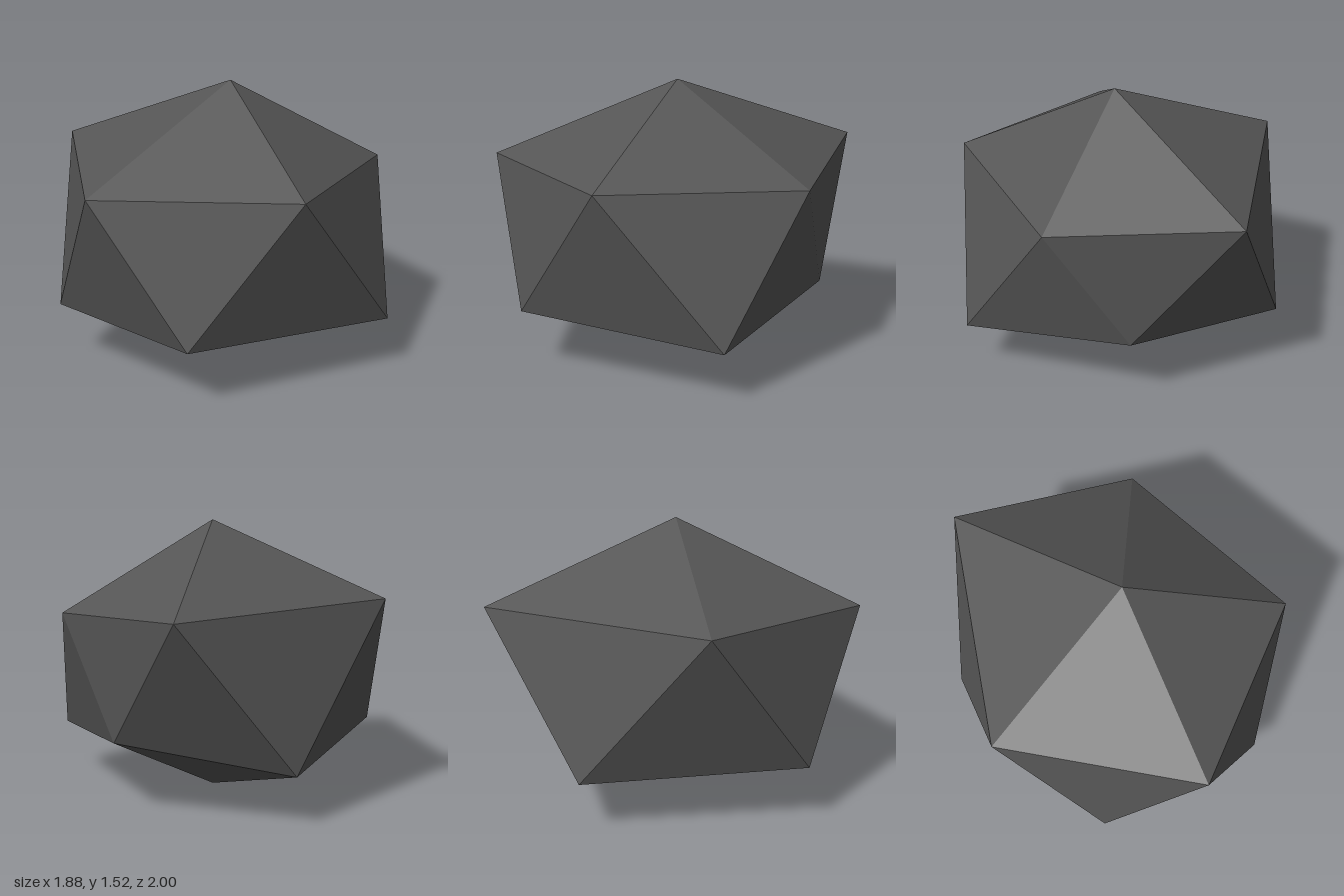
import * as THREE from 'three';

// A faceted boulder: two staggered five-point rings closed by a peak and a base point.
export function createModel() {
  const group = new THREE.Group();
  group.name = 'boulder';

  const peak = [0.03, 1.52, 0.08];
  const base = [0.03, 0, 0.08];
  // Both rings run counter-clockwise seen from above, lower[i] sits between upper[i] and upper[i + 1]
  const upper = [[-0.48, 1.08, 0.96], [0.59, 1.09, 0.77], [0.775, 1.04, -0.34], [0, 1.12, -1], [-0.945, 1.13, -0.07]];
  const lower = [[0.05, 0.33, 1], [0.94, 0.29, 0.21], [0.42, 0.4, -0.61], [-0.56, 0.285, -0.65], [-0.81, 0.32, 0.54]];

  // Cap, zigzag belt and underside
  const points = [];
  for (let i = 0; i < 5; i++) {
    const j = (i + 1) % 5;
    points.push(
      peak, upper[i], upper[j],
      upper[i], lower[i], upper[j],
      lower[i], lower[j], upper[j],
      base, lower[j], lower[i],
    );
  }

  const geometry = new THREE.BufferGeometry();
  geometry.setAttribute('position', new THREE.Float32BufferAttribute(points.flat(), 3));
  geometry.computeVertexNormals();

  const stone = new THREE.MeshStandardMaterial({ color: 0x555555, flatShading: true });
  stone.name = 'dark grey stone';

  const rock = new THREE.Mesh(geometry, stone);
  rock.name = 'rock';
  group.add(rock);
  return group;
}
